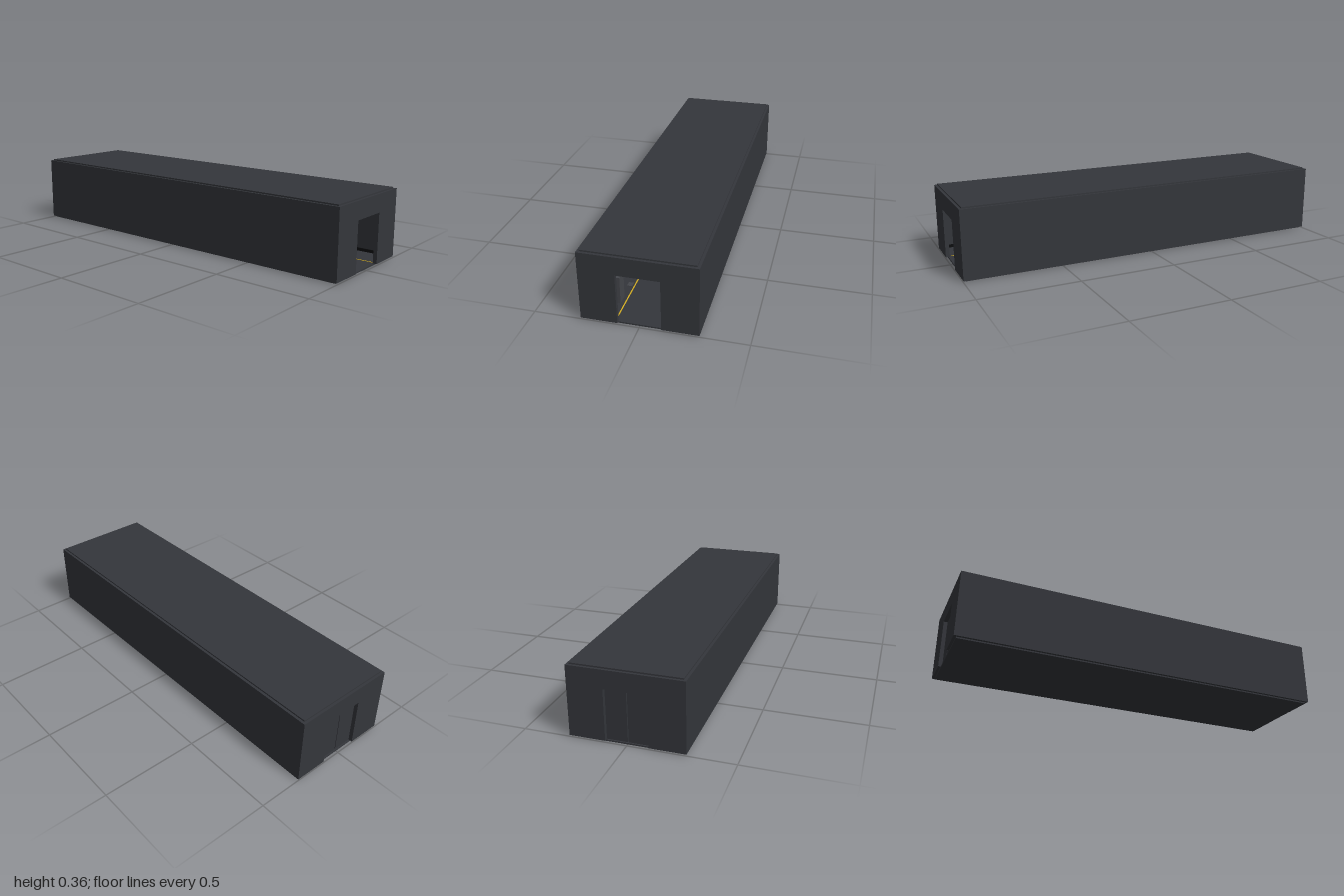
import * as THREE from 'three';

const mat = (color, side = THREE.FrontSide) => new THREE.MeshStandardMaterial({ color, side });

export function createModel() {
  const root = new THREE.Group();
  const wall = mat(0x34363b), trim = mat(0x222327), black = mat(0x0c0d0f);
  const crateMat = mat(0x44464b), yellow = mat(0xd8b020), red = mat(0x8a1418), green = mat(0x1f5a48);

  const add = (name, geo, material, x = 0, y = 0, z = 0, parent = root) => {
    const m = new THREE.Mesh(geo, material);
    m.name = name;
    m.position.set(x, y, z);
    parent.add(m);
    return m;
  };
  // box given by its two corners
  const box = (name, a, b, material, parent = root) => add(name,
    new THREE.BoxGeometry(b[0] - a[0], b[1] - a[1], b[2] - a[2]), material,
    (a[0] + b[0]) / 2, (a[1] + b[1]) / 2, (a[2] + b[2]) / 2, parent);

  // shell: floor and roof slabs set in from the walls
  box('floor', [-0.262, 0, -0.987], [0.262, 0.007, 0.987], wall);
  box('roof', [-0.262, 0.353, -0.987], [0.262, 0.36, 0.987], wall);
  for (const s of [-1, 1]) {
    const side = s < 0 ? 'right' : 'left';
    box(side + 'Wall', [s * 0.2685 - 0.0065, 0.007, -1], [s * 0.2685 + 0.0065, 0.353, 1], wall);
    box(side + 'Baseboard', [s * 0.259 - 0.003, 0.007, -0.98], [s * 0.259 + 0.003, 0.022, 0.98], black);
    box(side + 'FloorStripe', [s * 0.115 - 0.003, 0.007, -0.97], [s * 0.115 + 0.003, 0.008, 0.97], yellow);
  }

  // end walls with a doorway
  const outline = new THREE.Shape([[-0.262, 0.007], [-0.102, 0.007], [-0.102, 0.261], [0.102, 0.261],
    [0.102, 0.007], [0.262, 0.007], [0.262, 0.353], [-0.262, 0.353]].map(p => new THREE.Vector2(...p)));
  const endGeo = new THREE.ExtrudeGeometry(outline, { depth: 0.02, bevelEnabled: false });
  add('frontWall', endGeo, wall, 0, 0, 0.98);
  add('backWall', endGeo, wall, 0, 0, -1);

  // closed sliding doors at the back, with a narrow gap and a lock on the inside
  for (const s of [-1, 1])
    box(s < 0 ? 'rightDoor' : 'leftDoor', [s * 0.0535 - 0.0515, 0.007, -0.98], [s * 0.0535 + 0.0515, 0.268, -0.97], wall);
  box('doorLock', [-0.012, 0.11, -0.97], [0.012, 0.16, -0.962], black);

  // crates along the walls
  box('tallCrate', [-0.256, 0.007, 0.8], [-0.135, 0.147, 0.857], crateMat);
  box('lowCrate', [0.099, 0.007, -0.5], [0.19, 0.078, -0.4], crateMat);
  box('looseLid', [-0.15, 0.007, 0.69], [-0.125, 0.011, 0.72], crateMat);
  box('smallCase', [-0.22, 0.007, 0.56], [-0.19, 0.02, 0.6], crateMat);

  // hanging cable with a bare plug
  const cable = new THREE.CatmullRomCurve3([[0.056, 0.353, 0.2], [0.058, 0.26, 0.2], [0.06, 0.215, 0.2],
    [0.067, 0.175, 0.2], [0.075, 0.144, 0.2]].map(p => new THREE.Vector3(...p)));
  add('hangingCable', new THREE.TubeGeometry(cable, 24, 0.001, 6), red);
  add('cablePlug', new THREE.SphereGeometry(0.002, 8, 6), black, 0.075, 0.143, 0.2);

  // backpack with pocket, flap and handle
  const pack = new THREE.Group();
  pack.name = 'backpack';
  pack.position.set(-0.091, 0.007, 0.3);
  root.add(pack);
  const arch = (w, h) => {
    const s = new THREE.Shape();
    s.moveTo(-w, 0);
    s.lineTo(w, 0);
    s.lineTo(w, h - w);
    s.absarc(0, h - w, w, 0, Math.PI);
    s.closePath();
    return s;
  };
  const archGeo = (w, h, depth) => new THREE.ExtrudeGeometry(arch(w, h),
    { depth, bevelEnabled: true, bevelSize: 0.001, bevelThickness: 0.001, bevelSegments: 1, curveSegments: 10 });
  add('packBody', archGeo(0.014, 0.047, 0.018), trim, 0, 0.001, 0, pack);
  add('packPocket', archGeo(0.009, 0.026, 0.005), wall, 0, 0.002, 0.019, pack);
  const flap = box('packFlap', [-0.015, 0.036, 0.001], [0.015, 0.04, 0.022], wall, pack);
  flap.rotation.z = 0.15;
  add('packHandle', new THREE.TorusGeometry(0.009, 0.0012, 6, 16, Math.PI), black, 0, 0.045, 0.008, pack);

  // bottle leaning beside the pack
  const bottle = add('bottle', new THREE.CylinderGeometry(0.0015, 0.0015, 0.02, 8), green, -0.068, 0.017, 0.31);
  bottle.rotation.z = 0.5;
  return root;
}
